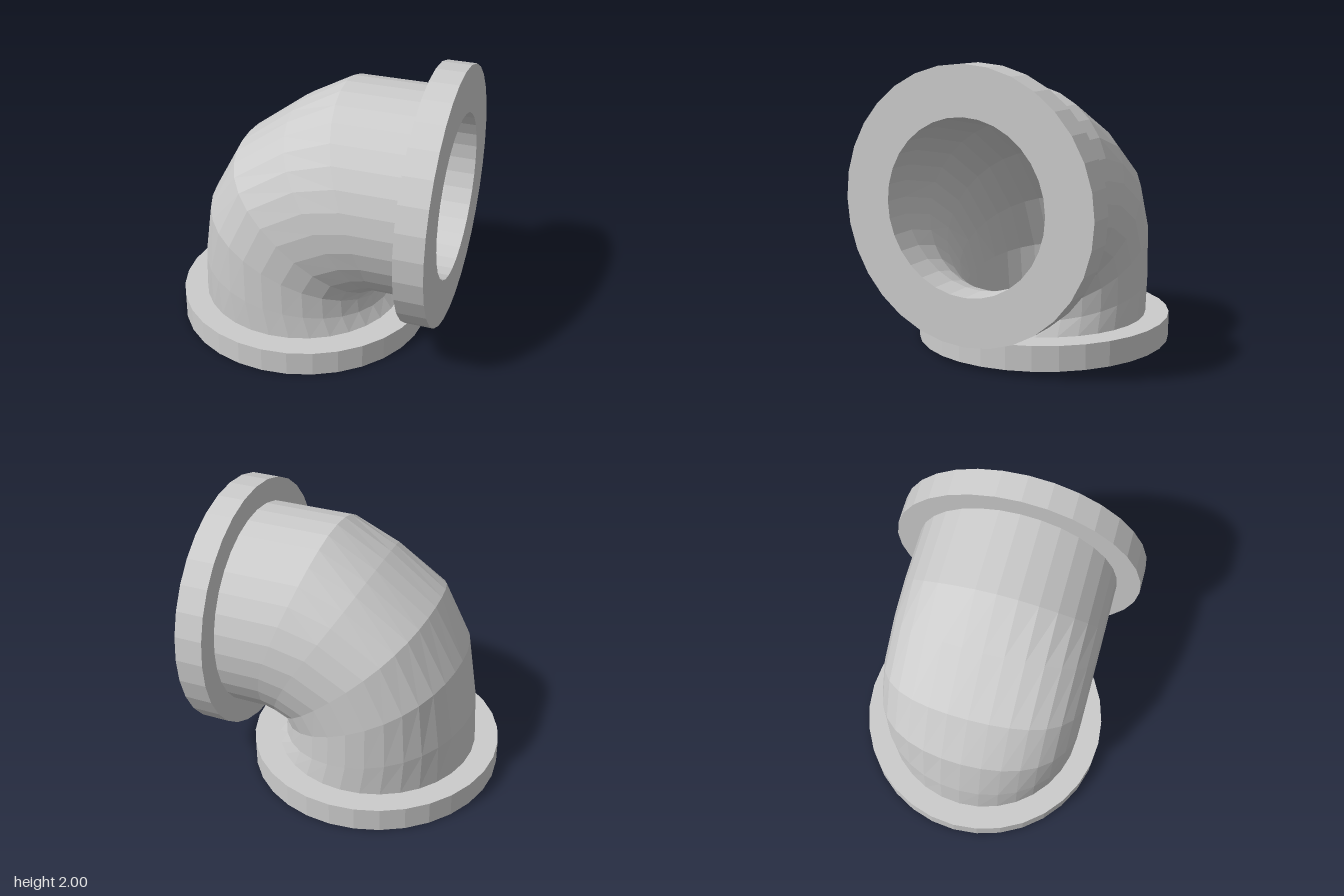
import * as THREE from 'three';

const SIDES = 32;
const material = new THREE.MeshStandardMaterial({ color: 0xcccccc, flatShading: true });

// Rings along the bend:
// [outer x, outer y, inner x, inner y, half depth, inner bulge, outer swell]
const WALL = [
  [-0.83, 0.175, 0.62, 0.175, 0.735, 0, 0],
  [-0.81, 0.5, 0.56, 0.26, 0.735, 0, 0.03],
  [-0.73, 0.95, 0.54, 0.33, 0.735, 0, 0.09],
  [-0.52, 1.34, 0.53, 0.355, 0.735, 0.02, 0.12],
  [-0.14, 1.63, 0.53, 0.36, 0.735, 0.06, 0.09],
  [0.2, 1.83, 0.525, 0.36, 0.735, 0.08, 0],
  [0.8, 1.83, 0.8, 0.36, 0.735, 0, 0],
];
const BORE = [
  [-0.65, 0, 0.46, 0, 0.555, 0, 0],
  [-0.65, 0.2, 0.46, 0.18, 0.557, 0, 0],
  [-0.62, 0.55, 0.475, 0.27, 0.56, 0, 0],
  [-0.46, 0.94, 0.515, 0.35, 0.565, 0, 0],
  [-0.12, 1.33, 0.59, 0.43, 0.57, 0, 0],
  [0.3, 1.58, 0.69, 0.49, 0.575, 0, 0],
  [0.8, 1.671, 0.8, 0.515, 0.578, 0, 0],
  [1, 1.671, 1, 0.515, 0.578, 0, 0],
];

// Skin through elliptical rings, facing outward or inward
function loft(rings, inward) {
  const positions = [];
  const index = [];
  for (const [ox, oy, ix, iy, depth, bulge, swell] of rings) {
    for (let j = 0; j < SIDES; j++) {
      const a = (j / SIDES) * Math.PI * 2;
      const c = Math.cos(a);
      const s = Math.sin(a);
      const across = c + swell * s * s * (1 + c);
      positions.push(
        (ox + ix) / 2 + ((ox - ix) / 2) * across + bulge * s * s * (1 - c),
        (oy + iy) / 2 + ((oy - iy) / 2) * across,
        depth * s
      );
    }
  }
  for (let i = 0; i < rings.length - 1; i++) {
    for (let j = 0; j < SIDES; j++) {
      const a = i * SIDES + j;
      const b = i * SIDES + ((j + 1) % SIDES);
      const c = b + SIDES;
      const d = a + SIDES;
      if (inward) index.push(a, c, b, a, d, c);
      else index.push(a, b, c, a, c, d);
    }
  }
  const geometry = new THREE.BufferGeometry();
  geometry.setAttribute('position', new THREE.Float32BufferAttribute(positions, 3));
  geometry.setIndex(index);
  geometry.computeVertexNormals();
  return geometry;
}

// Flat ring standing on y = 0; the bore forms the wall of its hole
function flangeGeometry(hole, radius, height) {
  const profile = [[hole, 0], [radius, 0], [radius, height], [hole, height]]
    .map(([r, y]) => new THREE.Vector2(r, y));
  return new THREE.LatheGeometry(profile, SIDES);
}

export function createModel() {
  const model = new THREE.Group();
  model.name = 'pipeElbow';
  const add = (name, geometry) => {
    const mesh = new THREE.Mesh(geometry, material);
    mesh.name = name;
    model.add(mesh);
    return mesh;
  };

  // Bent pipe wall, and the curved bore running through both flanges
  add('elbowOuterWall', loft(WALL, false));
  add('elbowBore', loft(BORE, true));

  // Flange on the ground
  add('bottomFlange', flangeGeometry(0.555, 0.905, 0.175)).position.x = -0.095;

  // Flange facing sideways
  const side = add('sideFlange', flangeGeometry(0.578, 0.907, 0.2));
  side.rotation.z = -Math.PI / 2;
  side.position.set(0.8, 1.093, 0);

  return model;
}
